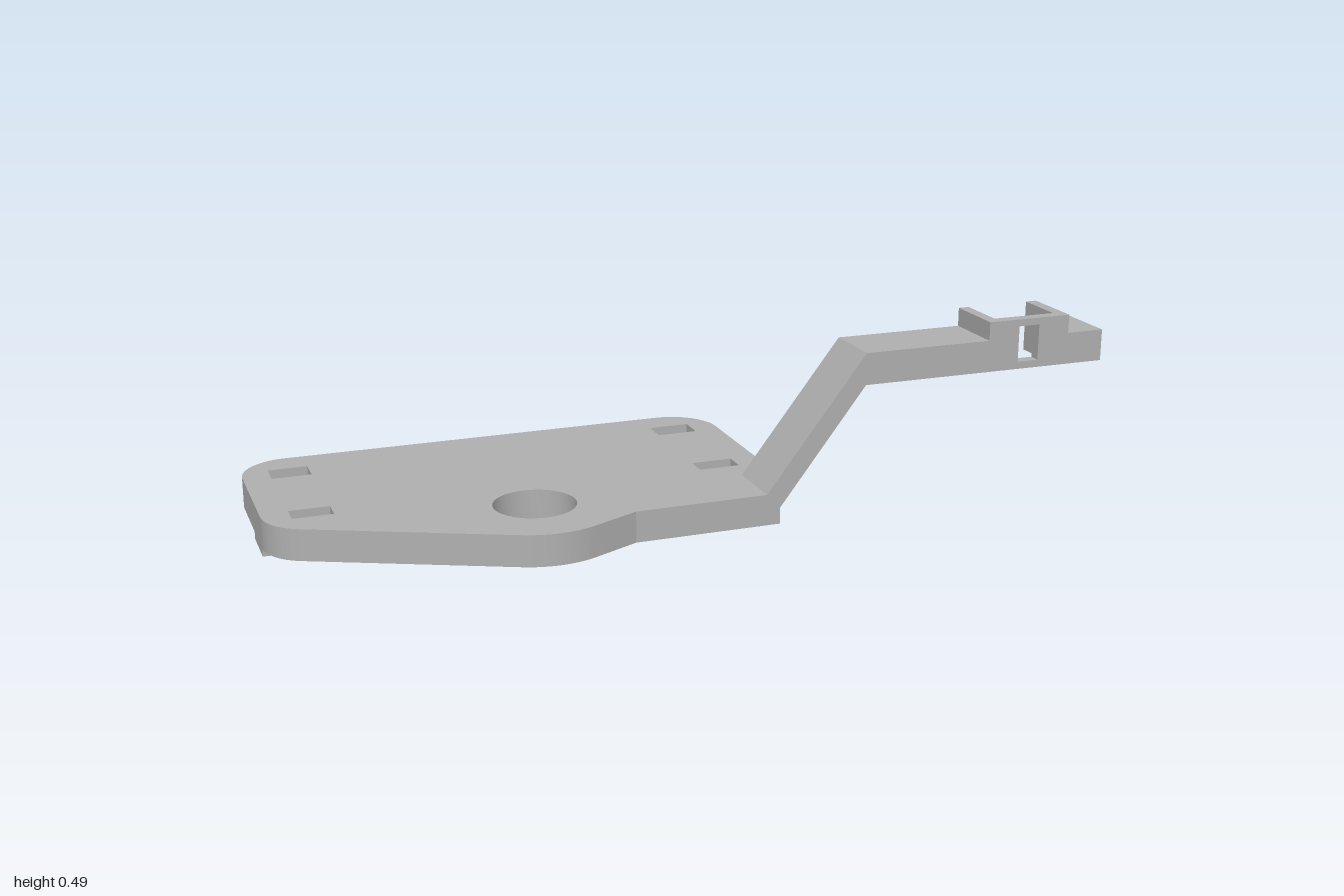
import * as THREE from 'three';
import { toCreasedNormals } from 'three/addons/utils/BufferGeometryUtils.js';

const grey = new THREE.MeshStandardMaterial({ color: 0xb0b0b0 });
grey.name = 'grey';

const rad = THREE.MathUtils.degToRad;
const polygon = (pts) => new THREE.Shape(pts.map(([x, y]) => new THREE.Vector2(x, y)));

function rectHole(x0, x1, y0, y1) {
  return new THREE.Path([[x0, y0], [x0, y1], [x1, y1], [x1, y0]].map(([x, y]) => new THREE.Vector2(x, y)));
}

function roundHole(x, y, r) {
  return new THREE.Path().absarc(x, y, r, 0, Math.PI * 2, true);
}

function extrude(shape, depth) {
  const geo = new THREE.ExtrudeGeometry(shape, { depth, bevelEnabled: false, curveSegments: 20 });
  return toCreasedNormals(geo, rad(25));
}

export function createModel() {
  const group = new THREE.Group();
  const add = (name, geo) => {
    const mesh = new THREE.Mesh(geo, grey);
    mesh.name = name;
    group.add(mesh);
  };
  // Plan shapes use (x, -z) and rise from y0 to y1
  const addFlat = (name, shape, y0, y1) =>
    add(name, extrude(shape, y1 - y0).rotateX(-Math.PI / 2).translate(0, y0, 0));
  // Side shapes use (x, y) and run from z0 to z1
  const addUpright = (name, shape, z0, z1) =>
    add(name, extrude(shape, z1 - z0).translate(0, 0, z0));

  // Base plate: rounded rectangle with a lobe around the large hole
  const plate = new THREE.Shape();
  plate.absarc(-0.398, -0.16, 0.203, rad(246), rad(294), false);
  plate.lineTo(-0.198, -0.29);
  plate.lineTo(0.157, -0.29);
  plate.absarc(0.088, -0.035, 0.12, rad(-54.8), 0, false);
  plate.absarc(0.088, 0.25, 0.12, 0, rad(90), false);
  plate.absarc(-0.88, 0.25, 0.12, rad(90), rad(180), false);
  plate.absarc(-0.88, -0.03, 0.12, rad(180), rad(246), false);
  plate.closePath();
  plate.holes.push(roundHole(-0.398, -0.16, 0.097));
  for (const [x0, x1] of [[-0.935, -0.84], [0.043, 0.144]]) {
    plate.holes.push(rectHole(x0, x1, 0.225, 0.29), rectHole(x0, x1, -0.067, -0.013));
  }
  addFlat('basePlate', plate, 0.05, 0.125);

  // Small drilled feet under both ends
  for (const [name, x0] of [['rightFoot', -0.99], ['leftFoot', 0.125]]) {
    const foot = polygon([[x0, 0.047], [x0 + 0.075, 0.047], [x0 + 0.075, 0.168], [x0, 0.168]]);
    foot.holes.push(roundHole(x0 + 0.0375, 0.1075, 0.022));
    addFlat(name, foot, 0, 0.05);
  }

  // Bent arm: a front layer with the window, and a back layer split by the pocket
  const root = [[0.123, 0.09], [0.157, 0.09], [0.369, 0.365]];
  const rise = [[0.69, 0.487], [0.69, 0.442], [0.369, 0.442], [0.123, 0.125]];
  const tip = [[1, 0.365], [1, 0.442], [0.905, 0.442], [0.905, 0.487]];
  const front = polygon([...root, ...tip, ...rise]);
  front.holes.push(rectHole(0.77, 0.824, 0.383, 0.47));
  addUpright('armFront', front, 0.262, 0.29);
  addUpright('armBack', polygon([...root, [0.717, 0.365], [0.717, 0.487], ...rise]), 0.137, 0.262);
  addUpright('armTip', polygon([[0.877, 0.365], ...tip, [0.877, 0.487]]), 0.137, 0.262);

  return group;
}
